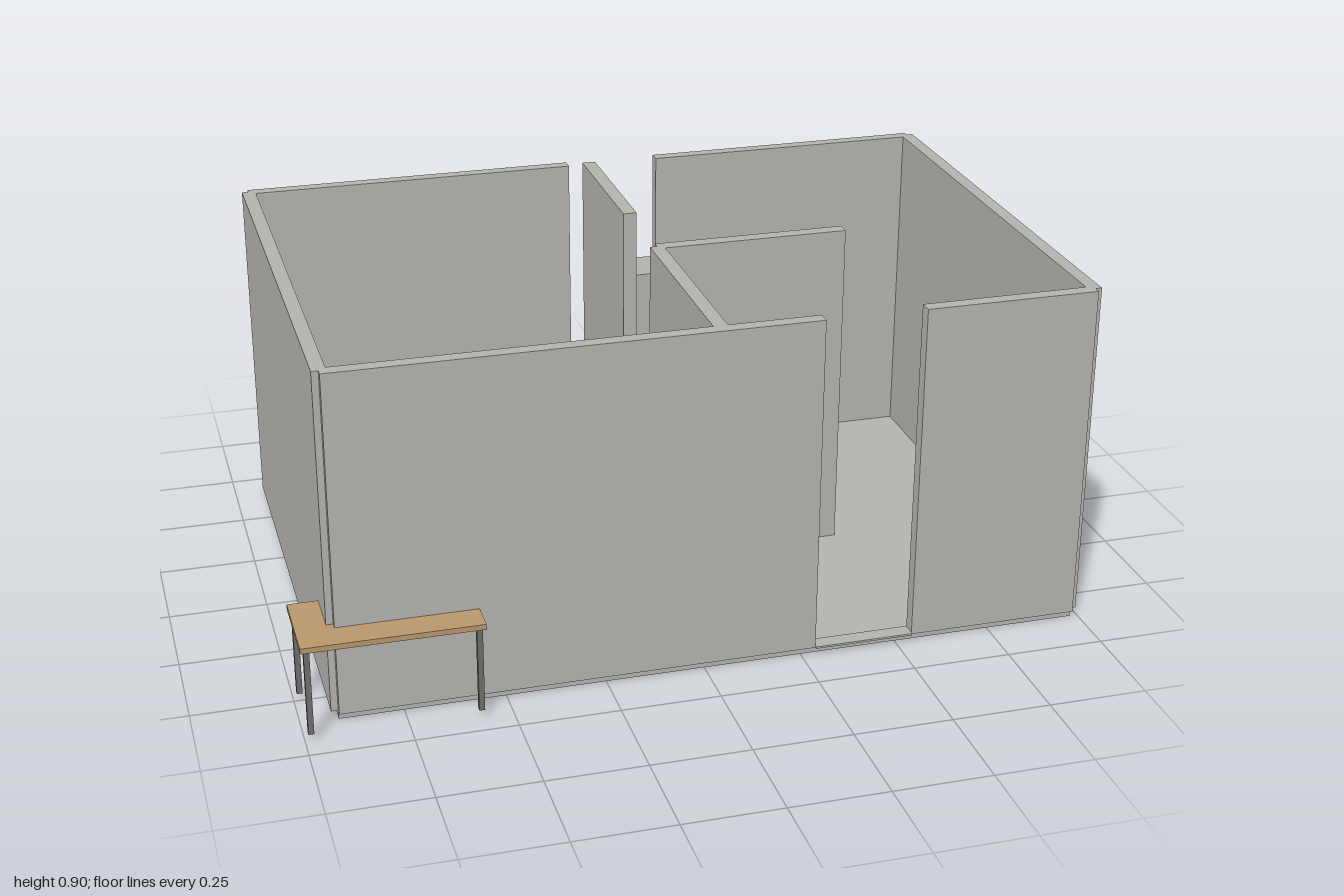
import * as THREE from 'three';

const mat = (name, color) => {
  const m = new THREE.MeshStandardMaterial({ color });
  m.name = name;
  return m;
};

export function createModel() {
  const plaster = mat('plaster grey', 0xb4b2ad);
  const wood = mat('table wood', 0xb8966c);
  const metal = mat('leg grey', 0x6f6b6b);
  const mauve = mat('chair mauve', 0x75666c);
  const dark = mat('handle dark', 0x333333);

  const house = new THREE.Group();
  house.name = 'house';

  // Box given by its limits on each axis
  const box = (parent, name, material, [x0, x1], [y0, y1], [z0, z1]) => {
    const mesh = new THREE.Mesh(new THREE.BoxGeometry(x1 - x0, y1 - y0, z1 - z0), material);
    mesh.position.set((x0 + x1) / 2, (y0 + y1) / 2, (z0 + z1) / 2);
    mesh.name = name;
    parent.add(mesh);
  };
  const group = (name) => {
    const g = new THREE.Group();
    g.name = name;
    house.add(g);
    return g;
  };
  // Four square legs standing on the floor inside a rectangle
  const legs = (parent, name, material, [x0, x1], top, [z0, z1], t) => {
    for (const x of [x0, x1 - t])
      for (const z of [z0, z1 - t]) box(parent, name, material, [x, x + t], [FLOOR, top], [z, z + t]);
  };

  const FLOOR = 0.02;
  const full = [FLOOR, 0.9];
  box(house, 'floor', plaster, [-0.908, 0.98], [0, FLOOR], [-0.647, 0.608]);

  // Outer walls, with door gaps at front and back
  const back = [-0.67, -0.637], front = [0.587, 0.622];
  const walls = group('walls');
  box(walls, 'backWallRight', plaster, [-0.908, -0.025], full, back);
  box(walls, 'backWallLeft', plaster, [0.225, 0.98], full, back);
  box(walls, 'frontWallRight', plaster, [-0.908, 0.285], full, front);
  box(walls, 'frontWallLeft', plaster, [0.54, 0.98], full, front);
  box(walls, 'rightWall', plaster, [-0.925, -0.89], full, [-0.655, 0.603]);
  box(walls, 'leftWall', plaster, [0.962, 0.997], full, [-0.655, 0.603]);

  // Inner partitions
  box(walls, 'backPartition', plaster, [0.018, 0.054], full, [-0.655, -0.217]);
  box(walls, 'frontPartition', plaster, [0.018, 0.054], full, [0.04, 0.59]);
  box(walls, 'crossPartition', plaster, [0.037, 0.537], full, [0.02, 0.056]);

  // Door sills
  box(house, 'frontSill', plaster, [0.285, 0.54], [FLOOR, 0.025], [0.587, 0.628]);
  box(house, 'backSill', plaster, [-0.025, 0.225], [FLOOR, 0.025], [-0.676, -0.637]);

  // Cupboard with a centre seam and two handles
  const cupboard = group('cupboard');
  box(cupboard, 'cupboardBody', plaster, [0.145, 0.428], [FLOOR, 0.585], [-0.703, -0.568]);
  box(cupboard, 'doorSeam', dark, [0.284, 0.29], [0.05, 0.555], [-0.568, -0.565]);
  for (const x of [0.26, 0.314])
    box(cupboard, 'cupboardHandle', dark, [x - 0.005, x + 0.005], [0.27, 0.35], [-0.568, -0.558]);

  // Table
  const table = group('table');
  box(table, 'tableTop', wood, [-1, -0.562], [0.241, 0.255], [0.48, 0.7]);
  legs(table, 'tableLeg', metal, [-0.992, -0.57], 0.241, [0.488, 0.693], 0.014);

  // Chair
  const chair = group('chair');
  box(chair, 'chairSeat', mauve, [-0.195, -0.052], [0.145, 0.16], [0.315, 0.458]);
  box(chair, 'chairBack', mauve, [-0.195, -0.052], [0.16, 0.3], [0.315, 0.327]);
  legs(chair, 'chairLeg', metal, [-0.192, -0.055], 0.145, [0.318, 0.455], 0.012);

  return house;
}
